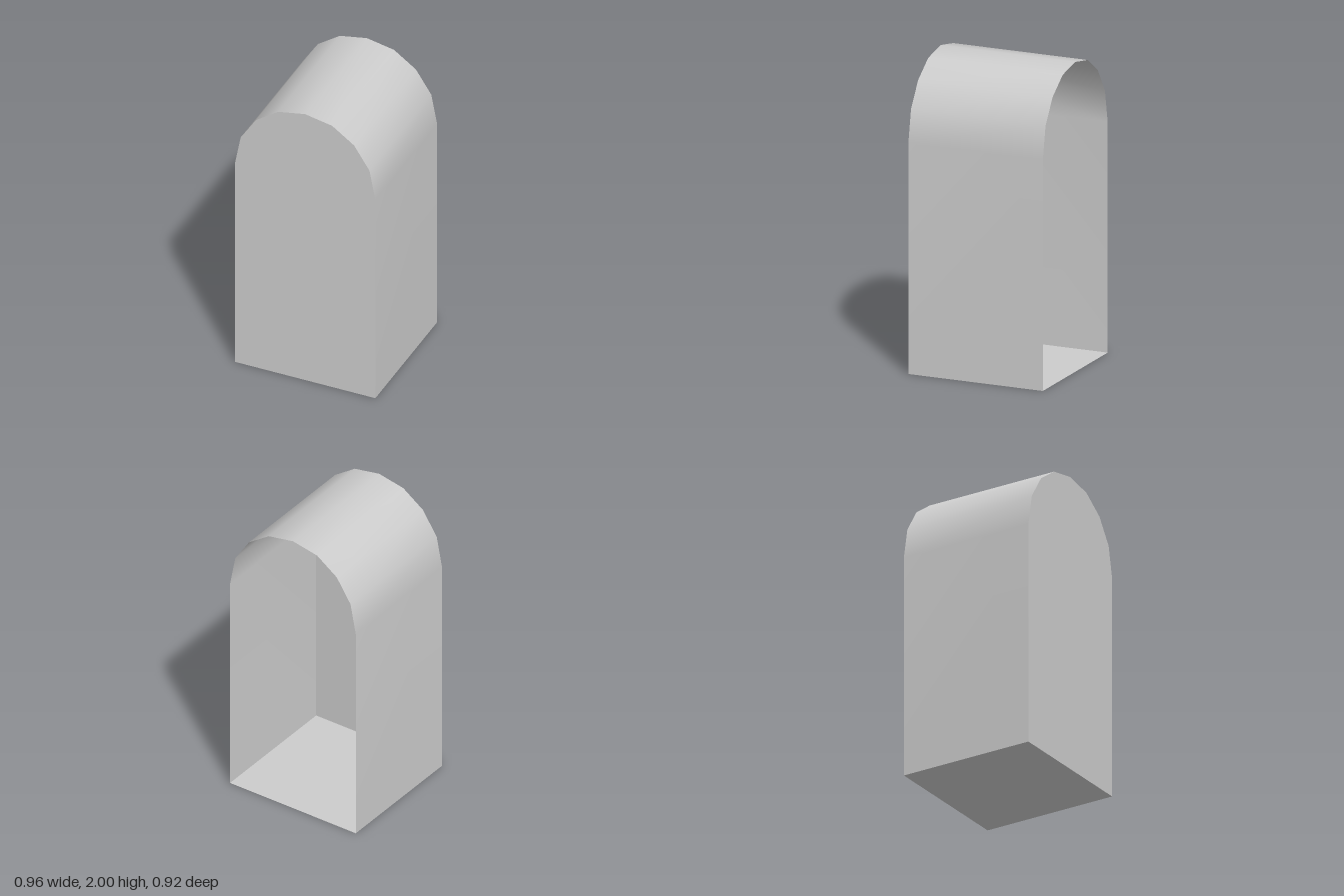
import * as THREE from 'three';

const W = 0.48, D = 0.46, SPRING = 1.49;

// Half outline of the arch, from the foot up to the crown
const half = [[W, 0], [W, SPRING], [0.44, 1.7], [0.335, 1.86], [0.185, 1.965]];
const outline = [...half, [0, 2], ...half.map(([x, y]) => [-x, y]).reverse()];

// Open shell: the outline swept from front to back, smooth over the vault
function sweep(points, depth) {
  const position = [], index = [];
  points.forEach(([x, y], i) => {
    position.push(x, y, depth, x, y, -depth);
    if (i < points.length - 1) {
      const f = 2 * i, b = f + 1;
      index.push(f, b, b + 2, f, b + 2, f + 2);
    }
  });
  const geometry = new THREE.BufferGeometry();
  geometry.setAttribute('position', new THREE.Float32BufferAttribute(position, 3));
  geometry.setIndex(index);
  geometry.computeVertexNormals();
  return geometry;
}

export function createModel() {
  const model = new THREE.Group();
  model.name = 'archedAlcove';

  const stone = new THREE.MeshStandardMaterial({ color: 0xcccccc, side: THREE.DoubleSide });
  stone.name = 'lightGrey';

  const add = (name, geometry) => {
    const mesh = new THREE.Mesh(geometry, stone);
    mesh.name = name;
    model.add(mesh);
    return mesh;
  };

  // Side walls and vault in one skin, open at the back
  add('wallsAndVault', sweep(outline, D));

  // Arched panel closing the front
  const arch = new THREE.Shape(outline.map(([x, y]) => new THREE.Vector2(x, y)));
  add('frontPanel', new THREE.ShapeGeometry(arch)).position.z = D;

  // Flat floor
  add('floor', new THREE.PlaneGeometry(2 * W, 2 * D).rotateX(Math.PI / 2));

  return model;
}
